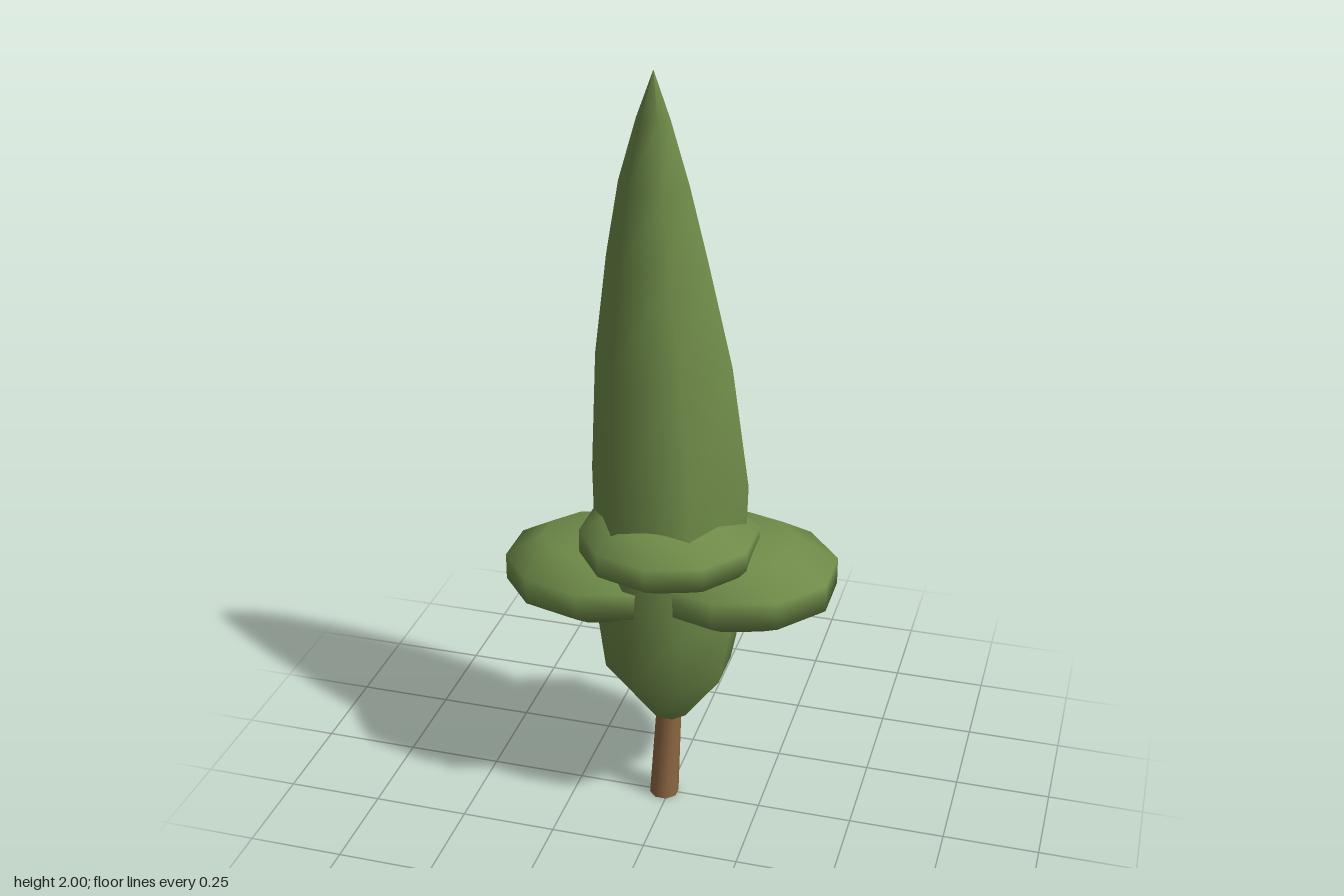
import * as THREE from 'three';

const leafGreen = new THREE.MeshStandardMaterial({ color: 0x6f8b49 });
leafGreen.name = 'leafGreen';
const barkBrown = new THREE.MeshStandardMaterial({ color: 0x8f6844 });
barkBrown.name = 'barkBrown';

// Smooth loft through rings [y, centreX, centreZ, radius]; repeating a ring makes a sharp edge
function loft(rings, sides, phase = 0) {
  const pos = [], idx = [];
  for (const [y, cx, cz, r] of rings) {
    for (let i = 0; i < sides; i++) {
      const a = phase + (i / sides) * Math.PI * 2;
      pos.push(cx + r * Math.cos(a), y, cz + r * Math.sin(a));
    }
  }
  for (let j = 0; j < rings.length - 1; j++) {
    for (let i = 0; i < sides; i++) {
      const n = (i + 1) % sides;
      const a = j * sides + i, b = j * sides + n, c = a + sides, d = b + sides;
      if (rings[j][3] > 0) idx.push(a, c, b);
      if (rings[j + 1][3] > 0) idx.push(b, c, d);
      else if (rings[j][3] > 0) idx[idx.length - 2] = c;
    }
  }
  const g = new THREE.BufferGeometry();
  g.setAttribute('position', new THREE.Float32BufferAttribute(pos, 3));
  g.setIndex(idx);
  g.computeVertexNormals();
  return g;
}

// Closes the bottom of a loft with a flat, sharp-edged cap
const capped = (rings) => {
  const [y, x, z] = rings[0];
  return [[y, x, z, 0], rings[0], ...rings];
};

export function createModel() {
  const tree = new THREE.Group();
  tree.name = 'tree';
  const add = (name, geometry, material) => {
    const mesh = new THREE.Mesh(geometry, material);
    mesh.name = name;
    tree.add(mesh);
    return mesh;
  };

  // Leaning trunk
  add('trunk', loft(capped([
    [0, -0.013, 0.002, 0.039],
    [0.4, 0.007, 0.004, 0.031],
  ]), 8, Math.PI / 8), barkBrown);

  // Lower foliage, eight-sided
  add('lowerFoliage', loft(capped([
    [0.27, 0.003, 0.004, 0.052],
    [0.42, 0.0, 0.006, 0.165],
    [0.6, 0.005, -0.002, 0.195],
    [0.78, 0.0, -0.004, 0.194],
    [0.84, 0.0, -0.004, 0.165],
    [0.92, 0.0, -0.004, 0],
  ]), 8, Math.PI / 8), leafGreen);

  // Tall pointed crown, six-sided, its tip leaning to the right
  add('crown', loft(capped([
    [0.78, 0.0, -0.002, 0.2],
    [0.96, 0.0, -0.004, 0.204],
    [1.27, -0.02, -0.018, 0.175],
    [1.53, -0.037, -0.025, 0.128],
    [1.72, -0.043, -0.02, 0.088],
    [1.88, -0.04, -0.007, 0.042],
    [2.0, -0.035, 0.008, 0],
  ]), 6), leafGreen);

  // Flattened leaf clumps: centre, radii
  const clumps = [
    ['leftClump', [0.168, 0.7, -0.028], [0.278, 0.118, 0.249]],
    ['rightClump', [-0.18, 0.675, -0.002], [0.266, 0.113, 0.229]],
    ['frontClump', [0.013, 0.808, 0.045], [0.24, 0.1, 0.231]],
  ];
  for (const [name, centre, radii] of clumps) {
    const g = new THREE.SphereGeometry(1, 10, 5);
    g.rotateY(Math.PI / 10);
    g.scale(...radii);
    add(name, g, leafGreen).position.set(...centre);
  }
  return tree;
}
